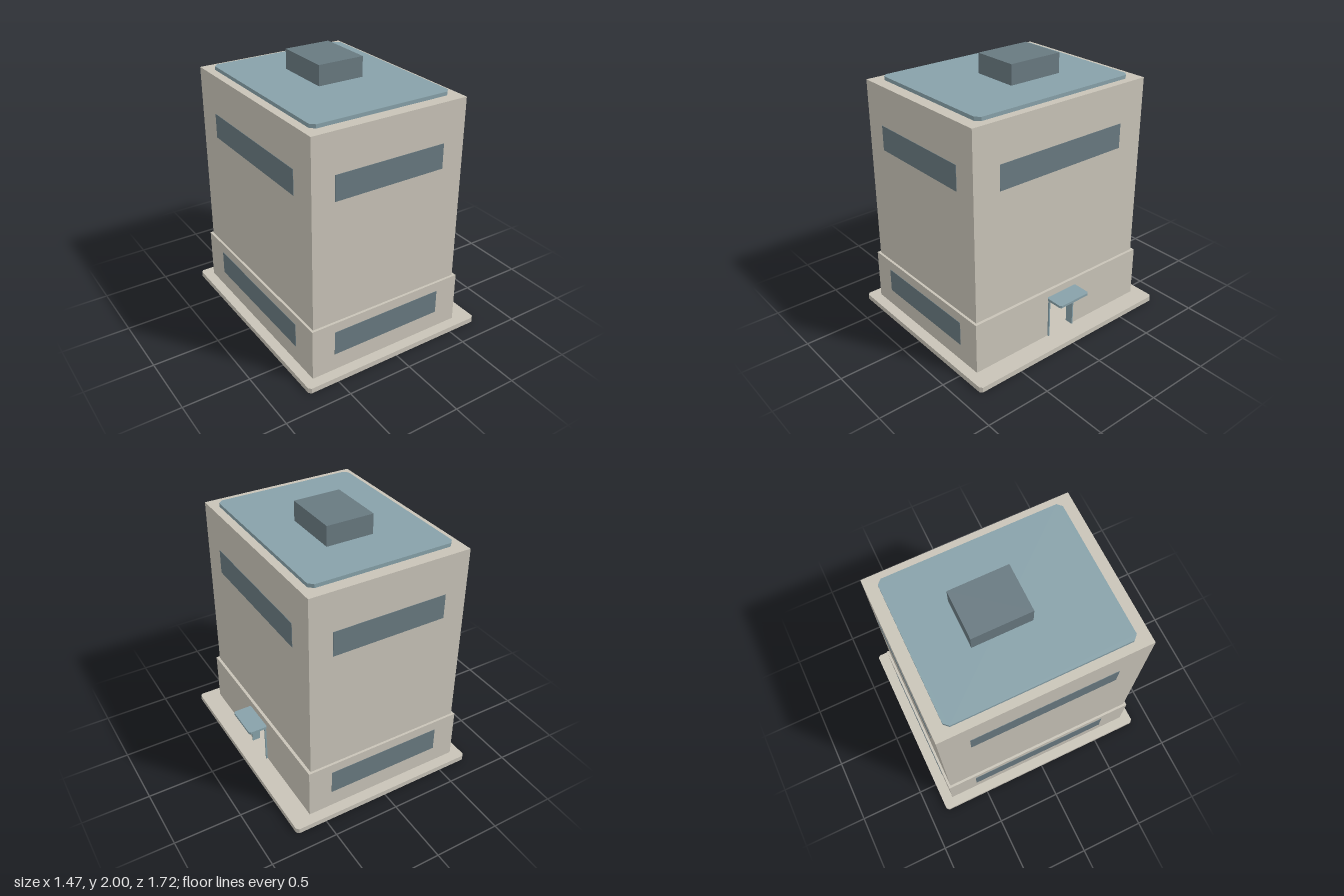
import * as THREE from 'three';

const paint = (name, color) => {
  const m = new THREE.MeshStandardMaterial({ color });
  m.name = name;
  return m;
};

export function createModel() {
  const stone = paint('stone', 0xc8c3b7);
  const blue = paint('pale blue', 0x87a1a9);
  const glass = paint('slate', 0x687980);
  const model = new THREE.Group();
  model.name = 'building';

  const add = (name, geometry, material) => {
    const mesh = new THREE.Mesh(geometry, material);
    mesh.name = name;
    model.add(mesh);
    return mesh;
  };

  // Box given by its limits on each axis
  const block = (name, material, x0, x1, y0, y1, z0, z1) =>
    add(name, new THREE.BoxGeometry(x1 - x0, y1 - y0, z1 - z0)
      .translate((x0 + x1) / 2, (y0 + y1) / 2, (z0 + z1) / 2), material);

  // Flat slab with cut corners
  const slab = (name, material, x0, x1, y0, y1, z0, z1, c) => {
    const s = new THREE.Shape([
      [x0 + c, -z1], [x1 - c, -z1], [x1, -z1 + c], [x1, -z0 - c],
      [x1 - c, -z0], [x0 + c, -z0], [x0, -z0 - c], [x0, -z1 + c],
    ].map(([x, y]) => new THREE.Vector2(x, y)));
    const g = new THREE.ExtrudeGeometry(s, { depth: y1 - y0, bevelEnabled: false });
    add(name, g.rotateX(-Math.PI / 2).translate(0, y0, 0), material);
  };

  // Ground plate
  slab('basePlate', stone, -0.735, 0.735, 0, 0.04, -0.86, 0.855, 0.018);

  // Hollow ground floor: three plain walls and one with a doorway
  const t = 0.05, x0 = -0.658, x1 = 0.588, z0 = -0.778, z1 = 0.775, y0 = 0.04, y1 = 0.43;
  block('frontWall', stone, x0, x1 - t, y0, y1, z1 - t, z1);
  block('backWall', stone, x0, x1 - t, y0, y1, z0, z0 + t);
  block('sideWall', stone, x0, x0 + t, y0, y1, z0 + t, z1 - t);
  const wall = new THREE.Shape([
    [-z1, y0], [-0.12, y0], [-0.12, 0.355], [0.12, 0.355],
    [0.12, y0], [-z0, y0], [-z0, y1], [-z1, y1],
  ].map(([x, y]) => new THREE.Vector2(x, y)));
  add('doorWall', new THREE.ExtrudeGeometry(wall, { depth: t, bevelEnabled: false })
    .rotateY(Math.PI / 2).translate(x1 - t, 0, 0), stone);

  // Upper storeys and roof
  block('tower', stone, -0.64, 0.566, y1, 1.825, -0.76, 0.756);
  slab('roofSlab', blue, -0.578, 0.505, 1.825, 1.852, -0.672, 0.668, 0.033);
  block('roofHousing', glass, -0.18, 0.175, 1.852, 2, -0.31, 0.124);

  // Entrance: jambs, lintel and canopy
  for (const s of [-1, 1]) {
    const a = s * 0.112, b = s * 0.122;
    block('doorJamb', blue, 0.537, 0.6, y0, 0.358, Math.min(a, b), Math.max(a, b));
  }
  block('lintel', stone, 0.537, 0.62, 0.334, 0.359, -0.115, 0.115);
  slab('canopy', blue, 0.585, 0.732, 0.358, 0.376, -0.141, 0.136, 0.012);

  // Window bands as thin plates on the faces
  const e = 0.003;
  const upper = [1.347, 1.532], lower = [0.172, 0.356];
  block('frontUpperWindow', glass, -0.468, 0.394, ...upper, 0.756 - e, 0.756 + e);
  block('backUpperWindow', glass, -0.468, 0.394, ...upper, -0.76 - e, -0.76 + e);
  block('rightUpperWindow', glass, 0.566 - e, 0.566 + e, ...upper, -0.545, 0.545);
  block('leftUpperWindow', glass, -0.64 - e, -0.64 + e, ...upper, -0.545, 0.545);
  block('frontLowerWindow', glass, -0.48, 0.408, ...lower, z1 - e, z1 + e);
  block('backLowerWindow', glass, -0.48, 0.408, ...lower, z0 - e, z0 + e);
  block('leftLowerWindow', glass, x0 - e, x0 + e, ...lower, -0.556, 0.556);

  return model;
}
